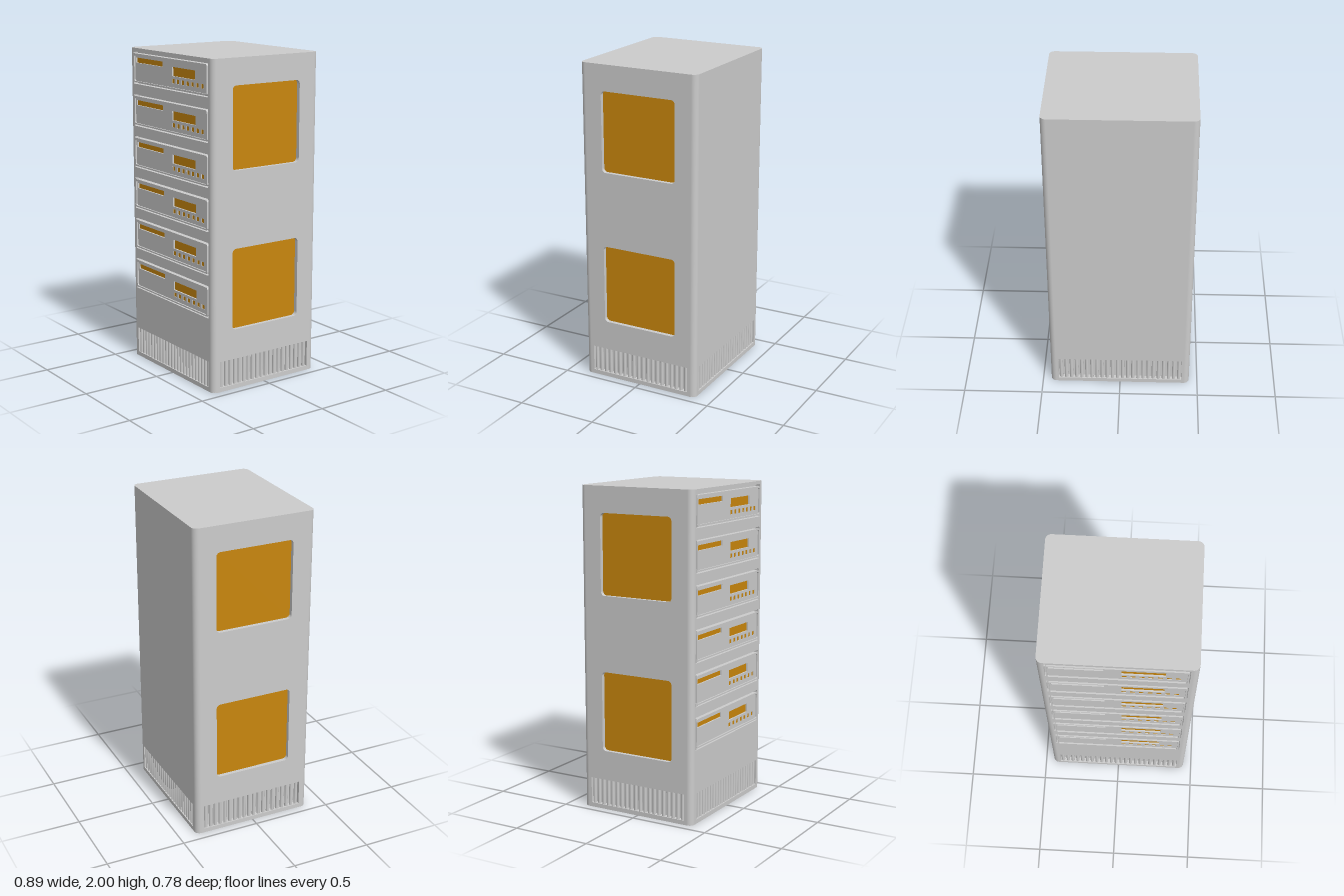
import * as THREE from 'three';

const grey = new THREE.MeshStandardMaterial({ color: 0xcccccc });
const orange = new THREE.MeshStandardMaterial({ color: 0xc8860d });

const HX = 0.447, HZ = 0.386, CZ = -0.004; // cabinet half sizes and z centre
const R = 0.035, T = 0.03, CAP = 0.006;    // corner radius, wall thickness, cap thickness

function add(parent, name, geometry, x = 0, y = 0, z = 0, material = grey) {
  const mesh = new THREE.Mesh(geometry, material);
  mesh.name = name;
  mesh.position.set(x, y, z);
  parent.add(mesh);
  return mesh;
}

// Rounded rectangle between two corners
function rect(x0, y0, x1, y1, r = 0, Type = THREE.Path) {
  const p = new Type();
  if (!r) {
    p.moveTo(x0, y0).lineTo(x1, y0).lineTo(x1, y1).lineTo(x0, y1).closePath();
    return p;
  }
  p.moveTo(x0 + r, y0);
  p.absarc(x1 - r, y0 + r, r, -Math.PI / 2, 0);
  p.absarc(x1 - r, y1 - r, r, 0, Math.PI / 2);
  p.absarc(x0 + r, y1 - r, r, Math.PI / 2, Math.PI);
  p.absarc(x0 + r, y0 + r, r, Math.PI, Math.PI * 1.5);
  p.closePath();
  return p;
}

function plate(shape, holes, depth) {
  shape.holes.push(...holes);
  return new THREE.ExtrudeGeometry(shape, { depth, bevelEnabled: false, curveSegments: 8 });
}

// Rectangular opening filled with a coloured box
function inset(parent, name, [x0, y0, x1, y1], zFront, depth) {
  add(parent, name, new THREE.BoxGeometry(x1 - x0, y1 - y0, depth),
    (x0 + x1) / 2, (y0 + y1) / 2, zFront - depth / 2, orange);
}

// Wall with cut-outs and a slatted vent; its outer face lies at local z = 0
function makeWall(name, half, ventHalf, holes) {
  const wall = new THREE.Group();
  wall.name = name;
  const vent = rect(-ventHalf, 0.027, ventHalf, 0.19);
  add(wall, name + 'Panel',
    plate(rect(-half, CAP, half, 2 - CAP, 0, THREE.Shape), [vent, ...holes], T), 0, 0, -T);
  const count = Math.round(ventHalf * 2 / 0.033);
  const pitch = ventHalf * 2 / count;
  const slat = new THREE.CylinderGeometry(0.011, 0.011, 0.163, 10, 1, true);
  for (let i = 0; i < count; i++) {
    add(wall, 'ventSlat', slat, -ventHalf + (i + 0.5) * pitch, 0.1085, -0.015);
  }
  return wall;
}

// Rack unit; local y = 0 at the top of its bay, local z = 0 at the cabinet face
function makeUnit() {
  const unit = new THREE.Group();
  unit.name = 'rackUnit';
  const face = [-0.39, -0.181, 0.385, -0.02];
  add(unit, 'unitFrame', plate(rect(-0.398, -0.19, 0.393, -0.011, 0.012, THREE.Shape),
    [rect(...face, 0.01)], 0.034), 0, 0, -0.029);

  const slot = [-0.381, -0.069, -0.079, -0.037];
  const screen = [0.02, -0.114, 0.265, -0.059];
  const buttons = [];
  for (let i = 0; i < 7; i++) {
    const x = 0.02 + i * 0.0503;
    buttons.push([x, -0.156, x + 0.027, -0.13]);
  }
  const openings = [slot, screen, ...buttons];
  add(unit, 'unitFace', plate(rect(...face, 0.01, THREE.Shape),
    openings.map(o => rect(...o)), 0.024), 0, 0, -0.028);
  inset(unit, 'driveSlot', slot, -0.014, 0.01);
  inset(unit, 'displayScreen', screen, -0.014, 0.01);
  buttons.forEach(b => inset(unit, 'button', b, -0.008, 0.016));

  // Small hinge tabs on one edge
  for (const y of [-0.016, -0.185]) {
    add(unit, 'hingeTab', new THREE.BoxGeometry(0.01, 0.02, 0.03), -0.4, y, -0.011);
  }
  return unit;
}

export function createModel() {
  const model = new THREE.Group();
  model.name = 'serverCabinet';

  // Inner core seen at the back of every recess
  add(model, 'core', new THREE.BoxGeometry(2 * (HX - T), 2 - 2 * CAP, 2 * (HZ - T)), 0, 1, CZ);

  // Top and bottom caps
  for (const [name, y] of [['topCap', 2 - CAP], ['bottomCap', 0]]) {
    const cap = plate(rect(-HX, -HZ, HX, HZ, R, THREE.Shape), [], CAP);
    cap.rotateX(-Math.PI / 2);
    add(model, name, cap, 0, y, CZ);
  }

  // Rounded vertical corners
  [[1, 1], [1, -1], [-1, -1], [-1, 1]].forEach(([sx, sz], i) => {
    add(model, 'cornerPost',
      new THREE.CylinderGeometry(R, R, 2 - 2 * CAP, 8, 1, true, i * Math.PI / 2, Math.PI / 2),
      sx * (HX - R), 1, CZ + sz * (HZ - R));
  });

  // Front wall with six rack units
  const bayTops = Array.from({ length: 6 }, (_, i) => 1.978 - i * 0.2637);
  const front = makeWall('frontWall', HX - R, 0.397,
    bayTops.map(y => rect(-0.405, y - 0.2, 0.399, y, 0.008)));
  front.position.z = CZ + HZ;
  for (const y of bayTops) {
    const unit = makeUnit();
    unit.position.y = y;
    front.add(unit);
  }
  model.add(front);

  // Plain back wall
  const back = makeWall('backWall', HX - R, 0.397, []);
  back.position.z = CZ - HZ;
  back.rotation.y = Math.PI;
  model.add(back);

  // Side walls with two recessed coloured panels each
  for (const s of [1, -1]) {
    const windows = [[-0.246, 0.375, 0.246, 0.873], [-0.246, 1.343, 0.246, 1.84]];
    const side = makeWall(s > 0 ? 'leftWall' : 'rightWall', HZ - R, 0.333,
      windows.map(w => rect(...w, 0.025)));
    for (const w of windows) {
      add(side, 'sidePanel', plate(rect(...w, 0.025, THREE.Shape), [], 0.006), 0, 0, -0.031, orange);
    }
    side.position.set(s * HX, 0, CZ);
    side.rotation.y = s * Math.PI / 2;
    model.add(side);
  }
  return model;
}
